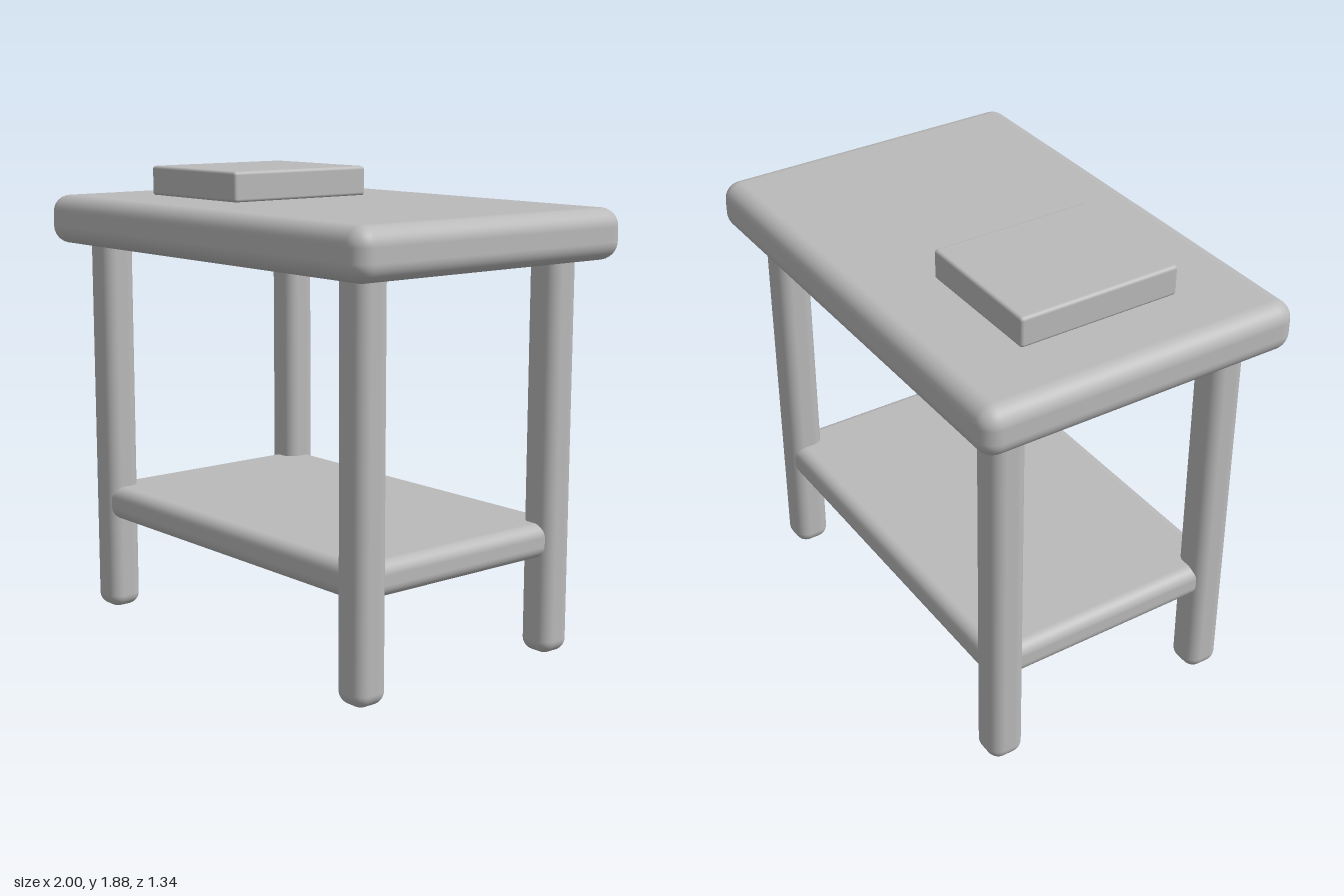
import * as THREE from 'three';
import { RoundedBoxGeometry } from 'three/addons/geometries/RoundedBoxGeometry.js';

export function createModel() {
  const model = new THREE.Group();
  model.name = 'sideTable';

  const grey = new THREE.MeshStandardMaterial({ color: 0xbababa });
  grey.name = 'plain grey';

  // Soft-edged block given by its size, base height and centre
  function block(name, [w, h, d], x, baseY, z, radius) {
    const mesh = new THREE.Mesh(new RoundedBoxGeometry(w, h, d, 5, radius), grey);
    mesh.name = name;
    mesh.position.set(x, baseY + h / 2, z);
    model.add(mesh);
  }

  // Thick top and the lower shelf let into the legs
  block('tabletop', [2, 0.2, 1.34], 0, 1.565, 0, 0.072);
  block('shelf', [1.71, 0.138, 1.09], 0, 0.395, 0, 0.05);

  // Four legs, reaching a little into the top
  for (const sx of [-1, 1]) {
    for (const sz of [-1, 1]) {
      const name = (sz > 0 ? 'front' : 'back') + (sx > 0 ? 'Left' : 'Right') + 'Leg';
      block(name, [0.148, 1.62, 0.148], sx * 0.802, 0, sz * 0.482, 0.052);
    }
  }

  // Book lying on the top
  block('book', [0.577, 0.122, 0.676], -0.422, 1.763, -0.002, 0.014);

  return model;
}
